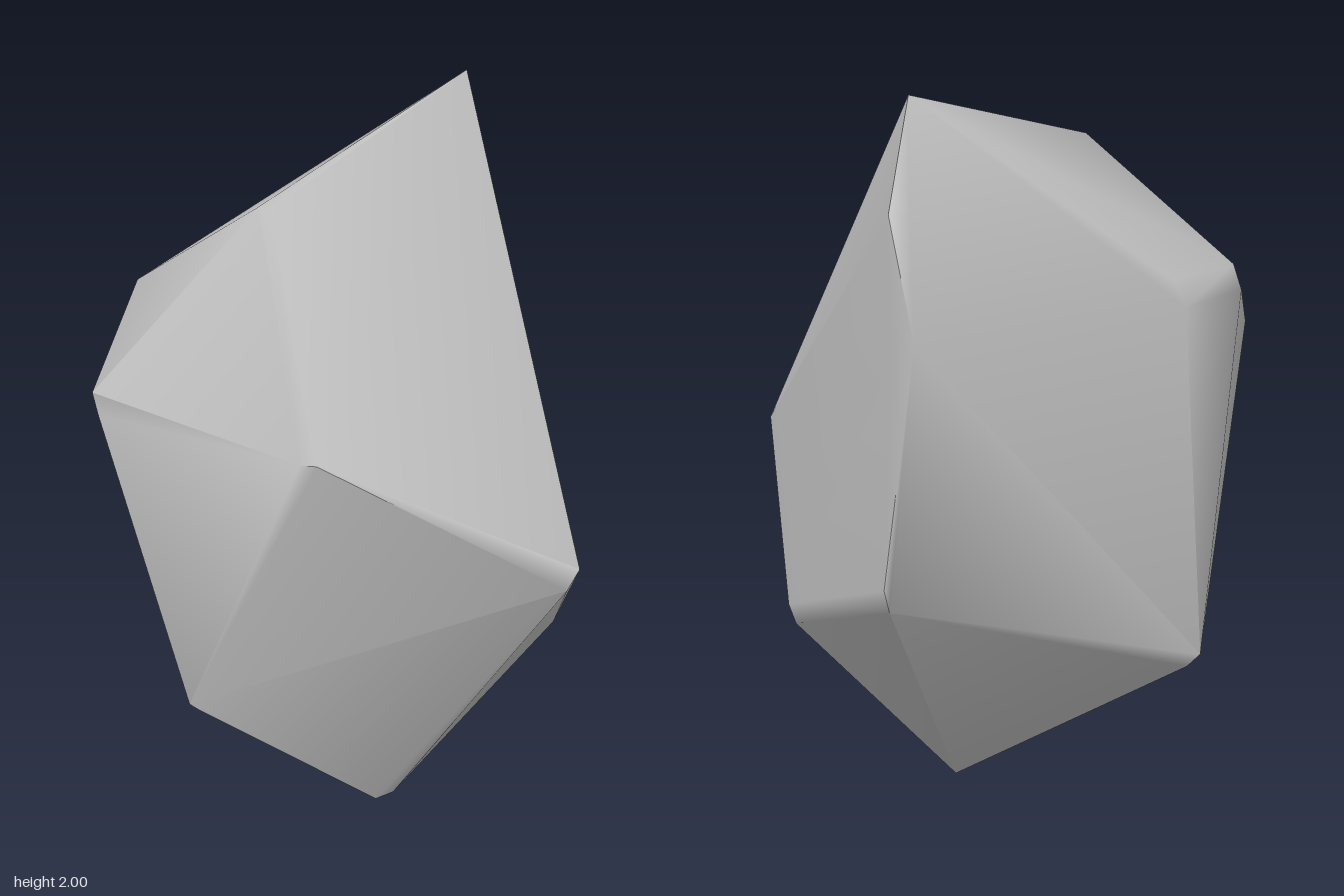
import * as THREE from 'three';
import { ConvexGeometry } from 'three/addons/geometries/ConvexGeometry.js';

// Smooths edges gentler than maxAngle, large faces counting more than small ones
function smoothByArea(geometry, maxAngle) {
  const position = geometry.attributes.position;
  const corner = (i) => new THREE.Vector3().fromBufferAttribute(position, i);
  const faces = [];
  const around = new Map();
  const key = (p) => p.toArray().map((v) => v.toFixed(4)).join();
  for (let i = 0; i < position.count; i += 3) {
    const [a, b, c] = [corner(i), corner(i + 1), corner(i + 2)];
    const area = b.clone().sub(a).cross(c.clone().sub(a));
    const face = { area, unit: area.clone().normalize() };
    faces.push(face);
    for (const p of [a, b, c]) {
      if (!around.has(key(p))) around.set(key(p), []);
      around.get(key(p)).push(face);
    }
  }
  for (let i = 0; i < position.count; i++) {
    const { unit } = faces[Math.floor(i / 3)];
    const normal = new THREE.Vector3();
    for (const other of around.get(key(corner(i)))) {
      if (other.unit.dot(unit) > Math.cos(maxAngle)) normal.add(other.area);
    }
    normal.normalize();
    geometry.attributes.normal.setXYZ(i, normal.x, normal.y, normal.z);
  }
  return geometry;
}

export function createModel() {
  const group = new THREE.Group();
  group.name = 'rock';

  const stone = new THREE.MeshStandardMaterial({ color: 0xc2c2c2 });
  stone.name = 'stone grey';

  // Corners of the boulder; blunted corners are given as close pairs
  const corners = [
    [0.53, 2.0, -0.47], [0.51, 1.99, -0.46],       // peak
    [0.62, 1.71, -0.54],                           // shoulder below the peak
    [-0.22, 1.83, -0.02], [-0.19, 1.83, 0.0],      // upper left corner
    [0.42, 0.92, 0.67], [0.46, 0.97, 0.655],       // front nose
    [-0.28, 1.33, 0.54], [-0.24, 1.33, 0.56],      // front brow
    [-0.66, 1.29, -0.16], [-0.655, 1.24, -0.12],   // side point
    [-0.51, 0.5, 0.24], [-0.48, 0.47, 0.23],       // lower side
    [-0.46, 1.5, -0.42], [-0.48, 1.43, -0.43],     // back ridge, side end
    [-0.17, 1.5, -0.59], [-0.19, 1.43, -0.63],     // back ridge, middle
    [0.61, 1.4, -0.665], [0.65, 1.36, -0.63],      // back corner
    [0.65, 0.75, -0.56], [0.635, 0.69, -0.56],     // lower back corner
    [0.645, 0.56, 0.09], [0.62, 0.5, 0.1],         // lower flank
    [-0.22, 0.5, -0.675], [-0.2, 0.46, -0.64],     // lower back point
    [0.07, 0.02, 0.13], [0.14, 0.0, 0.08],         // foot
  ].map((p) => new THREE.Vector3(...p));

  const boulder = new THREE.Mesh(smoothByArea(new ConvexGeometry(corners), 1.0), stone);
  boulder.name = 'boulder';
  group.add(boulder);

  return group;
}
